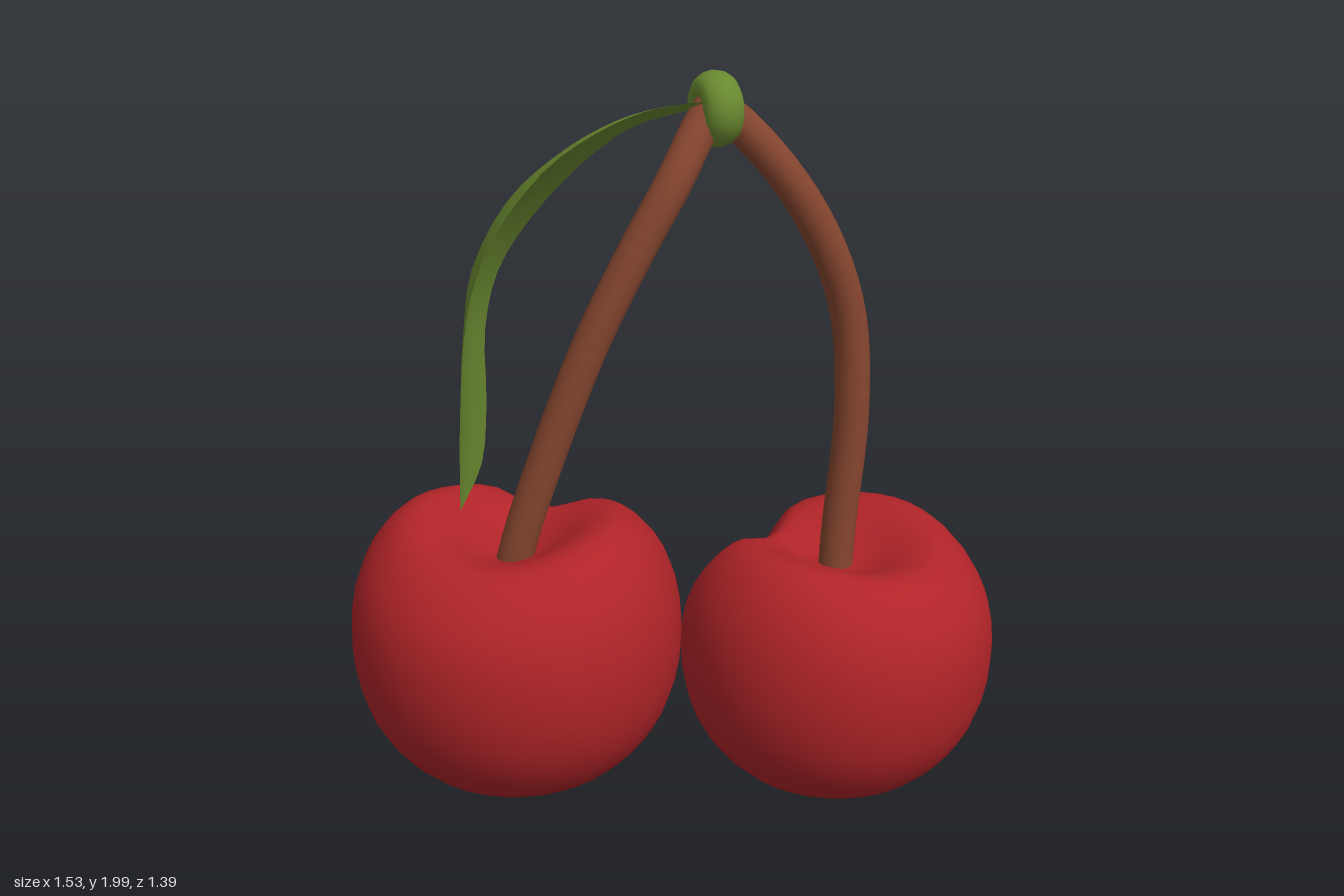
import * as THREE from 'three';
import { mergeVertices } from 'three/addons/utils/BufferGeometryUtils.js';

const named = (color, name) => {
  const m = new THREE.MeshStandardMaterial({ color });
  m.name = name;
  return m;
};
const v3 = (p) => new THREE.Vector3(...p);

// Fruit: a lathed body with a groove down one side (-z) and a saddle-shaped rim
function cherryGeometry() {
  const profile = new THREE.SplineCurve([
    [0, 0.008], [0.08, 0.012], [0.17, 0.035], [0.28, 0.095], [0.36, 0.185], [0.407, 0.295],
    [0.424, 0.43], [0.407, 0.57], [0.36, 0.675], [0.295, 0.742], [0.235, 0.755],
    [0.17, 0.727], [0.1, 0.68], [0.04, 0.658], [0, 0.655],
  ].map(([x, y]) => new THREE.Vector2(x, y))).getPoints(28);
  profile[0].x = profile[28].x = 0;
  let geo = new THREE.LatheGeometry(profile, 36);
  geo.deleteAttribute('uv');
  geo.deleteAttribute('normal');
  geo = mergeVertices(geo, 1e-4);
  const p = geo.attributes.position;
  for (let i = 0; i < p.count; i++) {
    const x = p.getX(i), y = p.getY(i), z = p.getZ(i);
    const r = Math.hypot(x, z);
    const angle = Math.abs(Math.atan2(x, -z));
    const groove = Math.exp(-Math.pow(angle / 0.45, 3));
    const s = 1 - 0.26 * groove * Math.min(1, r / 0.3);
    const upper = THREE.MathUtils.smoothstep(y, 0.45, 0.74) * Math.min(1, r / 0.22);
    const drop = upper * (0.045 * Math.cos(angle) ** 2 + 0.025 * groove);
    p.setXYZ(i, x * s, y - drop, z * s);
  }
  geo.computeVertexNormals();
  return geo;
}

// Leaf: a surface swept between two edge curves, slightly domed
function leafGeometry() {
  const edgeA = new THREE.CatmullRomCurve3([
    [0.02, 1.935, 0.07], [-0.12, 1.955, 0.08], [-0.27, 1.965, 0.085], [-0.42, 1.945, 0.07],
    [-0.56, 1.88, 0.03], [-0.66, 1.73, -0.04], [-0.683, 1.58, -0.09], [-0.65, 1.3, -0.16],
    [-0.578, 1.01, -0.24],
  ].map(v3));
  const edgeB = new THREE.CatmullRomCurve3([
    [0.02, 1.91, 0.02], [-0.08, 1.87, -0.09], [-0.15, 1.78, -0.19], [-0.23, 1.65, -0.285],
    [-0.29, 1.52, -0.345], [-0.34, 1.38, -0.35], [-0.39, 1.22, -0.31], [-0.46, 1.09, -0.27],
    [-0.578, 1.01, -0.24],
  ].map(v3));
  const rows = 24, cols = 8, pos = [], idx = [];
  const dome = new THREE.Vector3(-0.45, 0.5, -0.7).normalize();
  for (let i = 0; i <= rows; i++) {
    const u = i / rows, a = edgeA.getPoint(u), b = edgeB.getPoint(u);
    for (let j = 0; j <= cols; j++) {
      const v = j / cols;
      const lift = 0.05 * Math.sin(Math.PI * u) * Math.sin(Math.PI * v);
      pos.push(...a.clone().lerp(b, v).addScaledVector(dome, lift).toArray());
      if (i < rows && j < cols) {
        const k = i * (cols + 1) + j, n = k + cols + 1;
        idx.push(k, k + 1, n, k + 1, n + 1, n);
      }
    }
  }
  const geo = new THREE.BufferGeometry();
  geo.setAttribute('position', new THREE.Float32BufferAttribute(pos, 3));
  geo.setIndex(idx);
  geo.computeVertexNormals();
  return geo;
}

export function createModel() {
  const red = named(0xb02428, 'cherry red');
  const brown = named(0x86462f, 'stem brown');
  const green = named(0x6a8930, 'leaf green');
  green.side = THREE.DoubleSide;

  const model = new THREE.Group();
  model.name = 'cherryPair';
  const add = (name, geo, mat) => {
    const mesh = new THREE.Mesh(geo, mat);
    mesh.name = name;
    model.add(mesh);
    return mesh;
  };

  // Two fruits, grooves turned different ways
  const fruit = cherryGeometry();
  add('frontCherry', fruit, red).position.set(0.336, 0, 0.27);
  const back = add('backCherry', fruit, red);
  back.position.set(-0.347, 0.157, -0.273);
  back.rotation.y = THREE.MathUtils.degToRad(-70);

  // Curved stems meeting in the knot
  const stems = {
    frontStem: [[0.04, 1.93, 0.04], [0.1, 1.88, 0.08], [0.2, 1.735, 0.165], [0.29, 1.555, 0.23],
      [0.358, 1.345, 0.265], [0.37, 1.08, 0.277], [0.35, 0.76, 0.262], [0.34, 0.62, 0.26]],
    backStem: [[0.08, 1.94, 0.06], [0.02, 1.88, 0.045], [-0.08, 1.75, 0.03], [-0.155, 1.6, -0.02],
      [-0.25, 1.345, -0.105], [-0.365, 0.91, -0.22], [-0.39, 0.77, -0.25]],
  };
  for (const [name, pts] of Object.entries(stems)) {
    const path = new THREE.CatmullRomCurve3(pts.map(v3));
    add(name, new THREE.TubeGeometry(path, 28, 0.046, 14), brown);
  }

  // Ring-shaped knot around the stem tops
  const knot = add('knot', new THREE.TorusGeometry(0.05, 0.042, 14, 24), green);
  knot.position.set(0.06, 1.908, 0.055);
  knot.scale.z = 1.2;
  knot.rotation.y = Math.atan2(0.85, 0.53);

  add('leaf', leafGeometry(), green);
  return model;
}
